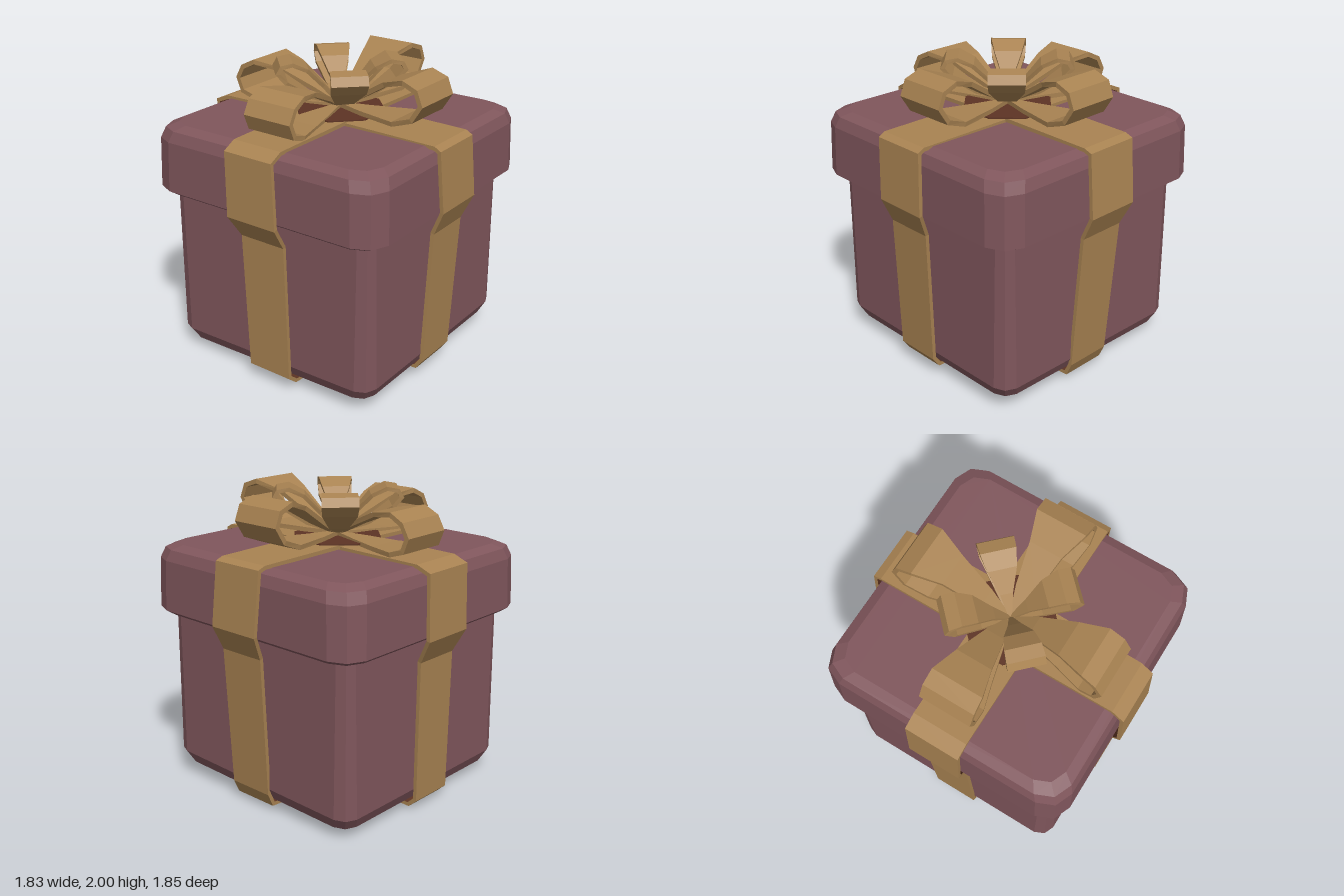
import * as THREE from 'three';

const mat = (name, color) => new THREE.MeshStandardMaterial({ name, color, flatShading: true });

// Builds an indexed geometry; groups are [faceList, materialIndex], faces are quads
function quadGeometry(pos, groups) {
  const geo = new THREE.BufferGeometry();
  const index = [];
  for (const [quads, m] of groups) {
    const start = index.length;
    for (const [a, b, c, d] of quads) index.push(a, b, c, a, c, d);
    geo.addGroup(start, index.length - start, m);
  }
  geo.setAttribute('position', new THREE.Float32BufferAttribute(pos, 3));
  geo.setIndex(index);
  const flat = geo.toNonIndexed();
  flat.computeVertexNormals();
  return flat;
}

// Chamfered box lofted from square rings [y, halfWidth, cornerCut]
function chamferedBox(rings, tilt) {
  const pos = [], quads = [], n = 12;
  for (const [y, h, c] of rings) {
    const corner = [[h, h - c], [h - 0.3 * c, h - 0.3 * c], [h - c, h]];
    for (let k = 0; k < 4; k++) {
      for (const [u, v] of corner) {
        const [x, w] = [[u, v], [-v, u], [-u, -v], [v, -u]][k];
        pos.push(x, y + tilt * x, -w);
      }
    }
  }
  const top = (rings.length - 1) * n;
  for (let r = 0; r < rings.length - 1; r++) {
    for (let i = 0; i < n; i++) {
      const j = (i + 1) % n, a = r * n, b = a + n;
      quads.push([a + i, a + j, b + j, b + i]);
    }
  }
  for (let i = 1; i < n - 1; i += 2) {
    const k = Math.min(i + 2, n - 1);
    quads.push([top, top + i, top + i + 1, top + k], [0, k, i + 1, i]);
  }
  return quadGeometry(pos, [[quads, 0]]);
}

// Band with thickness, following a counter-clockwise outline of
// [x, y, halfWidth, sideShift]; the outline is the outer surface
function band(path, t, closed, innerMaterial) {
  const n = path.length, pos = [], gold = [], inner = [];
  const normal = (a, b) => new THREE.Vector2(b[1] - a[1], a[0] - b[0]).normalize();
  path.forEach((p, i) => {
    const prev = path[closed ? (i + n - 1) % n : Math.max(i - 1, 0)];
    const next = path[closed ? (i + 1) % n : Math.min(i + 1, n - 1)];
    const n1 = prev === p ? normal(p, next) : normal(prev, p);
    const n2 = next === p ? n1 : normal(p, next);
    const m = n1.clone().add(n2).normalize();
    m.multiplyScalar(t / Math.max(0.6, m.dot(n1)));
    const [x, y, h, s = 0] = p;
    pos.push(x, y, s - h, x, y, s + h, x - m.x, y - m.y, s - h, x - m.x, y - m.y, s + h);
  });
  for (let i = 0; i < (closed ? n : n - 1); i++) {
    const a = i * 4, b = ((i + 1) % n) * 4;
    gold.push([a, b, b + 1, a + 1], [a + 1, b + 1, b + 3, a + 3], [a + 2, b + 2, b, a]);
    inner.push([a + 3, b + 3, b + 2, a + 2]);
  }
  return quadGeometry(pos, [[gold, 0], [inner, innerMaterial]]);
}

export function createModel() {
  const model = new THREE.Group();
  model.name = 'giftBox';
  const plum = mat('plum', 0x80565c);
  const gold = mat('gold', 0xa98352);
  const brown = mat('darkBrown', 0x5e3424);

  function add(parent, name, geo, material, angle = 0) {
    const mesh = new THREE.Mesh(geo, material);
    mesh.name = name;
    mesh.rotation.y = angle;
    parent.add(mesh);
    return mesh;
  }

  // Box and lid
  add(model, 'boxBody', chamferedBox([
    [0.06, 0.67, 0.1], [0.09, 0.74, 0.1], [0.17, 0.78, 0.1], [1.22, 0.77, 0.08],
  ], 0.025), [plum]);
  add(model, 'lid', chamferedBox([
    [1.165, 0.82, 0.15], [1.2, 0.87, 0.16], [1.53, 0.86, 0.16], [1.6, 0.835, 0.16], [1.63, 0.77, 0.14],
  ], 0.008), [plum]);

  // Straps wrapped around the box
  add(model, 'sideStrap', band([
    [-0.74, 0.015, 0.155, 0.025], [0.75, 0.07, 0.155, 0.025], [0.8, 0.14, 0.155, 0.025],
    [0.84, 1.06, 0.16, 0.01], [0.91, 1.22, 0.185, 0], [0.885, 1.62, 0.185, 0.02],
    [0.84, 1.645, 0.185, 0.02], [0, 1.652, 0.185, 0.01], [-0.8, 1.64, 0.185, 0.005],
    [-0.9, 1.6, 0.185, 0.005], [-0.915, 1.18, 0.185, 0], [-0.825, 1.02, 0.16, 0.01],
    [-0.8, 0.07, 0.155, 0.025],
  ], 0.025, true, 1), [gold, brown]);
  add(model, 'frontStrap', band([
    [-0.75, 0.04, 0.16, -0.035], [-0.2, 0, 0.16, -0.035], [0.2, 0, 0.16, -0.035],
    [0.74, 0.04, 0.16, -0.035], [0.81, 0.1, 0.16, -0.035], [0.825, 1.03, 0.165, -0.02],
    [0.92, 1.18, 0.185, -0.015], [0.905, 1.6, 0.18, 0.005], [0.82, 1.65, 0.18, 0],
    [0, 1.662, 0.185, 0], [-0.83, 1.65, 0.185, 0], [-0.885, 1.63, 0.185, 0],
    [-0.925, 1.22, 0.185, -0.01], [-0.85, 1.06, 0.165, -0.02], [-0.79, 0.13, 0.16, -0.035],
  ], 0.025, true, 1), [gold, brown], -Math.PI / 2);

  const bow = new THREE.Group();
  bow.name = 'bow';
  model.add(bow);

  // Dark patch under the knot
  const patch = add(bow, 'knotBase', new THREE.CylinderGeometry(0.3, 0.3, 0.008, 8), brown, Math.PI / 8);
  patch.position.y = 1.667;

  // Four large loops: two low, two raised
  const lowLoop = [
    [0, 1.665, 0.01], [0.2, 1.655, 0.07], [0.4, 1.645, 0.12], [0.58, 1.645, 0.17], [0.69, 1.68, 0.175],
    [0.73, 1.78, 0.175], [0.68, 1.87, 0.175], [0.58, 1.92, 0.17], [0.4, 1.89, 0.12],
    [0.17, 1.79, 0.065], [0, 1.7, 0.01],
  ];
  const highLoop = [
    [0, 1.67, 0.01], [0.2, 1.67, 0.07], [0.5, 1.68, 0.15], [0.66, 1.74, 0.175], [0.73, 1.85, 0.175],
    [0.69, 1.95, 0.175], [0.58, 1.99, 0.17], [0.4, 1.93, 0.11], [0.17, 1.79, 0.065], [0, 1.7, 0.01],
  ];
  const loops = [
    ['leftLoop', highLoop, 0], ['backLoop', highLoop, 1], ['rightLoop', lowLoop, 2], ['frontLoop', lowLoop, 3],
  ];
  for (const [name, path, k] of loops) {
    add(bow, name, band(path, 0.03, false, 0), [gold], k * Math.PI / 2);
  }

  // Four small upright loops on the diagonals
  const smallLoop = [
    [0, 1.68, 0.01], [0.2, 1.75, 0.06], [0.36, 1.86, 0.11], [0.42, 1.93, 0.115], [0.39, 1.985, 0.115],
    [0.31, 2, 0.11], [0.21, 1.95, 0.09], [0.1, 1.83, 0.04], [0, 1.71, 0.01],
  ];
  for (let k = 0; k < 4; k++) {
    add(bow, 'smallLoop', band(smallLoop, 0.025, false, 0), [gold], (k + 0.5) * Math.PI / 2);
  }
  return model;
}
